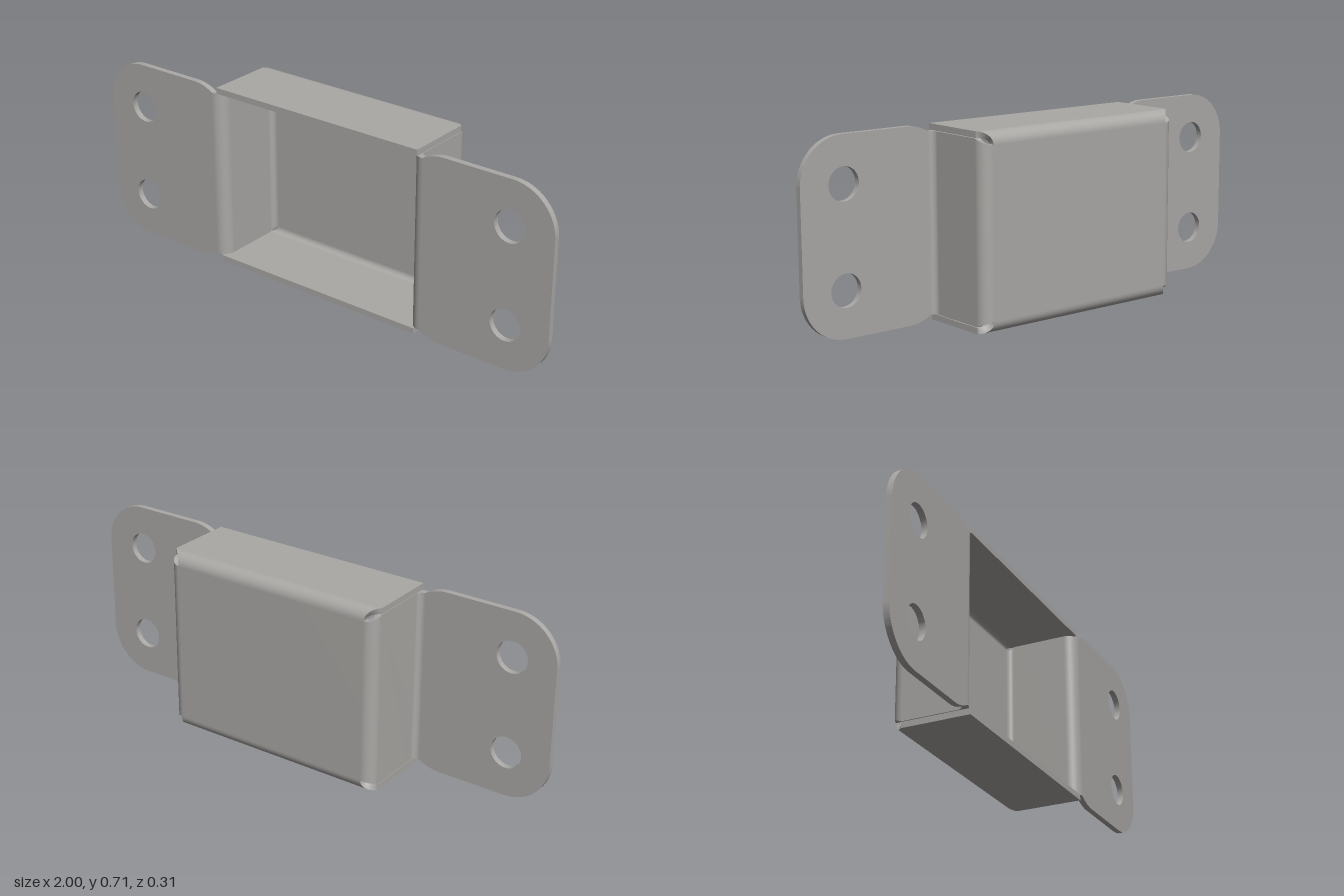
import * as THREE from 'three';
import { toCreasedNormals } from 'three/addons/utils/BufferGeometryUtils.js';

const HALF_H = 0.357;   // half height of the bracket
const HALF_W = 0.452;   // half width of the box
const FRONT = 0.154, BACK = -0.154;
const T = 0.023;        // sheet thickness
const R_IN = 0.022, R_OUT = R_IN + T;
const WALL_H = 0.332;   // half height of the side walls

// One cross-section of bent sheet: outer point, inner point, half width.
const section = (oa, oz, ia, iz, w) => ({ o: [oa, oz], i: [ia, iz], w });

// Rounded bend about (ca, cz); width(t) gives the half width along the bend.
function bend(ca, cz, rOuter, rInner, from, to, width) {
  const out = [];
  const n = 12;
  for (let k = 0; k <= n; k++) {
    const t = from + (to - from) * k / n;
    const c = Math.cos(t), s = Math.sin(t);
    out.push(section(ca + rOuter * c, cz + rOuter * s, ca + rInner * c, cz + rInner * s, width(t)));
  }
  return out;
}

// Solid sheet through the sections, smooth along its length, sharp at its edges.
function sheet(sections) {
  const pos = [], index = [];
  const corners = sections.map(({ o, i, w }) => [
    [o[0], w, o[1]], [o[0], -w, o[1]], [i[0], -w, i[1]], [i[0], w, i[1]]]);
  for (let f = 0; f < 4; f++) {
    const base = pos.length / 3;
    corners.forEach((c, k) => {
      pos.push(...c[f], ...c[(f + 1) % 4]);
      if (k === 0) return;
      const p0 = base + 2 * (k - 1), q0 = p0 + 1, p1 = p0 + 2, q1 = p0 + 3;
      index.push(p0, q0, q1, p0, q1, p1);
    });
  }
  const cap = (quad) => {
    const b = pos.length / 3;
    quad.forEach((p) => pos.push(...p));
    index.push(b, b + 1, b + 2, b, b + 2, b + 3);
  };
  cap([...corners[0]].reverse());
  cap(corners[corners.length - 1]);
  const g = new THREE.BufferGeometry();
  g.setAttribute('position', new THREE.Float32BufferAttribute(pos, 3));
  g.setIndex(index);
  g.computeVertexNormals();
  return g;
}

// Side walls and back plate, bent from one strip.
function channelGeometry() {
  const backA = HALF_W - R_OUT, backZ = BACK + R_OUT;
  const half = [
    ...bend(HALF_W + R_IN, FRONT - R_OUT, R_IN, R_OUT, Math.PI / 2, Math.PI, () => WALL_H),
    ...bend(backA, backZ, R_OUT, R_IN, 0, -Math.PI / 2, (t) => WALL_H + 0.02 * Math.sin(t)),
  ];
  const mirrored = half.map(({ o, i, w }) => section(-o[0], o[1], -i[0], i[1], w)).reverse();
  return sheet([...half, ...mirrored]);
}

// Top or bottom lip with its bend into the back plate.
function lipGeometry() {
  return sheet([
    section(HALF_H, FRONT, HALF_H - T, FRONT, HALF_W),
    ...bend(HALF_H - R_OUT, BACK + R_OUT, R_OUT, R_IN, 0, -Math.PI / 2,
      (t) => HALF_W + R_OUT * Math.sin(t)),
  ]);
}

// Mounting ear with rounded corners, necked inner end and two holes.
function earGeometry() {
  const r = 0.17, x0 = HALF_W + R_IN, neckX = 0.563;
  const a = Math.acos((neckX - x0) / r);
  const cy = HALF_H - r;
  const s = new THREE.Shape();
  s.moveTo(x0, -WALL_H);
  s.absarc(neckX, -cy, r, Math.PI + a, Math.PI * 1.5, false);
  s.absarc(1 - r, -cy, r, -Math.PI / 2, 0, false);
  s.absarc(1 - r, cy, r, 0, Math.PI / 2, false);
  s.absarc(neckX, cy, r, Math.PI / 2, Math.PI - a, false);
  s.lineTo(x0, WALL_H);
  s.closePath();
  for (const y of [-0.186, 0.186]) {
    s.holes.push(new THREE.Path().absarc(0.828, y, 0.061, 0, Math.PI * 2, true));
  }
  const g = new THREE.ExtrudeGeometry(s, { depth: T, bevelEnabled: false, curveSegments: 20 });
  g.translate(0, 0, FRONT - T);
  return toCreasedNormals(g, 0.6);
}

export function createModel() {
  const steel = new THREE.MeshStandardMaterial({ color: 0xaaa8a5 });
  steel.name = 'steelGrey';
  const model = new THREE.Group();
  model.name = 'mountingBracket';
  const add = (name, geometry, turn = 0) => {
    const m = new THREE.Mesh(geometry, steel);
    m.name = name;
    m.rotation.z = turn;
    m.position.y = HALF_H;
    model.add(m);
  };

  add('wallsAndBackPlate', channelGeometry());
  const lip = lipGeometry();
  add('topLip', lip, Math.PI / 2);
  add('bottomLip', lip, -Math.PI / 2);
  const ear = earGeometry();
  add('leftEar', ear);
  add('rightEar', ear, Math.PI);
  return model;
}
